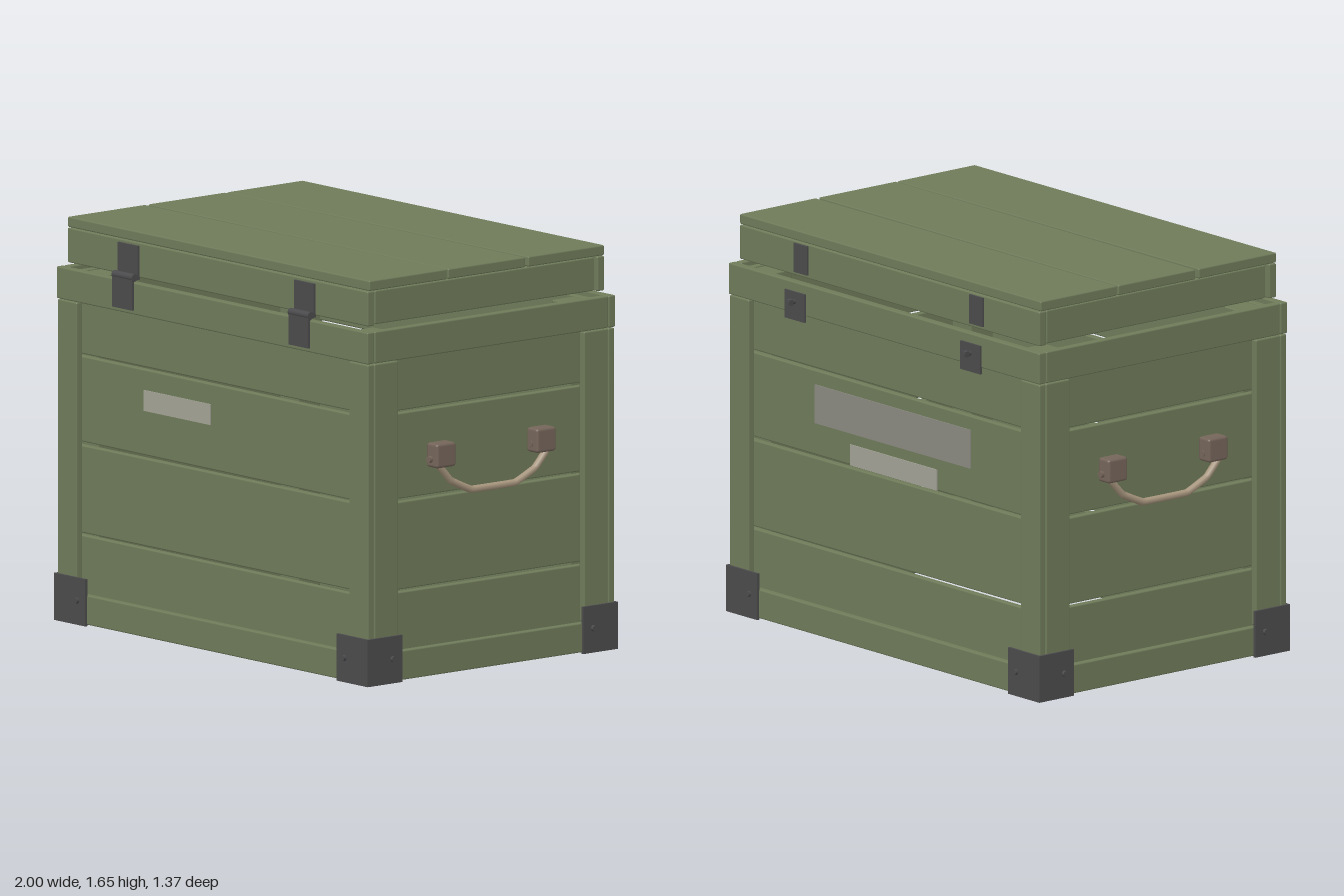
import * as THREE from 'three';
import { RoundedBoxGeometry } from 'three/addons/geometries/RoundedBoxGeometry.js';

const paint = (color) => new THREE.MeshStandardMaterial({ color, roughness: 0.85 });

export function createModel() {
  const model = new THREE.Group();
  model.name = 'crate';
  const green = paint(0x6f7b5a), metal = paint(0x4b4b4d), brown = paint(0x75655a);
  const rope = paint(0xa8967e), labelDark = paint(0x8b8981), labelLight = paint(0xa3a397);

  // Body is centred slightly forward of the origin
  const body = new THREE.Group();
  body.name = 'body';
  body.position.z = 0.012;
  model.add(body);

  const place = (name, geometry, material, x, y, z, parent = body) => {
    const mesh = new THREE.Mesh(geometry, material);
    mesh.name = name;
    mesh.position.set(x, y, z);
    parent.add(mesh);
    return mesh;
  };
  // Box given by its limits; boards get a small bevel
  const block = (name, x0, x1, y0, y1, z0, z1, material = green, bevel = 0, parent = body) => {
    const s = [x1 - x0, y1 - y0, z1 - z0];
    const g = bevel ? new RoundedBoxGeometry(...s, 1, bevel) : new THREE.BoxGeometry(...s);
    return place(name, g, material, (x0 + x1) / 2, (y0 + y1) / 2, (z0 + z1) / 2, parent);
  };
  const board = (name, ...limits) => block(name, ...limits, green, 0.006);
  // Same block on both sides of x or z
  const span = (s, a, b) => (s > 0 ? [a, b] : [-b, -a]);

  const seams = [0.01, 0.363, 0.732, 1.093, 1.43];
  for (const s of [1, -1]) {
    // Wall planks, each very slightly crooked
    for (let i = 0; i < 4; i++) {
      const y0 = seams[i] + 0.006, y1 = seams[i + 1] - 0.006;
      const tilt = 0.0015 * ((i % 2) * 2 - 1) * s;
      board('longWallPlank', -0.93, 0.93, y0, y1, ...span(s, 0.585, 0.615)).rotation.z = tilt;
      board('endWallPlank', ...span(s, 0.904, 0.934), y0, y1, -0.582, 0.582).rotation.x = tilt;
    }
    // Bottom boards and rim boards
    board('longBottomBoard', -0.965, 0.965, 0.005, 0.125, ...span(s, 0.616, 0.648));
    board('endBottomBoard', ...span(s, 0.933, 0.965), 0.005, 0.125, -0.613, 0.613);
    board('longRimBoard', -0.967, 0.967, 1.313, 1.443, ...span(s, 0.616, 0.652));
    board('endRimBoard', ...span(s, 0.933, 0.967), 1.313, 1.443, -0.613, 0.613);

    // Lid frame
    board('lidLongBoard', -0.933, 0.933, 1.46, 1.602, ...span(s, 0.585, 0.622));
    board('lidEndBoard', ...span(s, 0.885, 0.922), 1.462, 1.6, -0.575, 0.575);

    for (const t of [1, -1]) {
      // Corner boards outside, square post inside
      board('longSideCornerBoard', ...span(s, 0.845, 0.965), 0.127, 1.31, ...span(t, 0.616, 0.648));
      board('endSideCornerBoard', ...span(s, 0.933, 0.965), 0.127, 1.31, ...span(t, 0.488, 0.613));
      board('innerPost', ...span(s, 0.785, 0.903), 0.02, 1.42, ...span(t, 0.468, 0.584));

      // Steel corner bracket with a rivet on each leaf
      const bracket = new THREE.Group();
      bracket.name = 'cornerBracket';
      body.add(bracket);
      block('longLeaf', ...span(s, 0.78, 0.975), 0, 0.192, ...span(t, 0.647, 0.658), metal, 0, bracket);
      block('endLeaf', ...span(s, 0.964, 0.975), 0, 0.192, ...span(t, 0.475, 0.658), metal, 0, bracket);
      const rivet = new THREE.CylinderGeometry(0.012, 0.013, 0.014, 10);
      place('rivet', rivet, metal, s * 0.83, 0.1, t * 0.662, bracket).rotation.x = t * Math.PI / 2;
      place('rivet', rivet, metal, s * 0.979, 0.1, t * 0.527, bracket).rotation.z = -s * Math.PI / 2;
    }
  }

  // Lid planks
  const cuts = [-0.624, -0.212, 0.204, 0.624];
  for (let i = 0; i < 3; i++) {
    const plank = board('lidPlank', -0.935, 0.935, 1.604, 1.646, cuts[i] + 0.006, cuts[i + 1] - 0.006);
    plank.rotation.y = [0.002, -0.002, 0.003][i];
  }

  for (const s of [1, -1]) {
    // Front hinge: lid leaf, knuckle, rim leaf
    const hinge = new THREE.Group();
    hinge.name = 'hinge';
    hinge.position.x = s * 0.547;
    body.add(hinge);
    block('lidLeaf', -0.062, 0.062, 1.46, 1.59, 0.62, 0.632, metal, 0, hinge);
    block('leafBend', -0.062, 0.062, 1.452, 1.464, 0.62, 0.662, metal, 0, hinge);
    block('rimLeaf', -0.062, 0.062, 1.33, 1.46, 0.65, 0.661, metal, 0, hinge);
    const knuckle = new THREE.CylinderGeometry(0.016, 0.016, 0.126, 12);
    place('knuckle', knuckle, metal, 0, 1.462, 0.648, hinge).rotation.z = Math.PI / 2;

    // Back latch: hasp plate on the lid, staple plate with a turning pin below
    const latch = new THREE.Group();
    latch.name = 'latch';
    latch.position.x = s * 0.547;
    body.add(latch);
    block('haspPlate', -0.042, 0.042, 1.475, 1.595, -0.63, -0.621, metal, 0, latch);
    block('staplePlate', -0.062, 0.062, 1.288, 1.405, -0.66, -0.65, metal, 0, latch);
    const pin = new THREE.CylinderGeometry(0.01, 0.01, 0.045, 10);
    place('pin', pin, metal, 0, 1.365, -0.674, latch).rotation.x = Math.PI / 2;
    block('pinHead', -0.012, 0.012, 1.353, 1.377, -0.694, -0.674, metal, 0, latch);

    // Rope handle hung between two wooden cleats
    const handle = new THREE.Group();
    handle.name = 'sideHandle';
    handle.rotation.y = s > 0 ? 0 : Math.PI;
    body.add(handle);
    const half = [[0.3, 0.885], [0.28, 0.855], [0.22, 0.79], [0.115, 0.743]];
    const points = [...half, ...half.slice().reverse().map(([z, y]) => [-z, y])];
    const path = new THREE.CurvePath();
    const v = points.map(([z, y]) => new THREE.Vector3(0.974, y, z));
    const curve = new THREE.CatmullRomCurve3(v, false, 'catmullrom', 0.08);
    place('rope', new THREE.TubeGeometry(curve, 48, 0.015, 8), rope, 0, 0, 0, handle);
    for (const t of [1, -1]) {
      block('cleat', 0.93, 1.0, 0.852, 0.952, ...span(t, 0.212, 0.314), brown, 0.012, handle);
      const peg = new THREE.CylinderGeometry(0.014, 0.014, 0.12, 8);
      place('cleatPeg', peg, brown, 0.96, 0.887, t * 0.268, handle).rotation.x = Math.PI / 2;
    }
  }

  // Blank plates on the front and back
  block('frontPlate', -0.465, -0.05, 0.92, 1.005, 0.612, 0.619, labelLight);
  block('backUpperPlate', -0.5, 0.47, 0.87, 1.03, -0.619, -0.612, labelDark);
  block('backLowerPlate', -0.29, 0.25, 0.738, 0.825, -0.619, -0.612, labelLight);

  return model;
}
